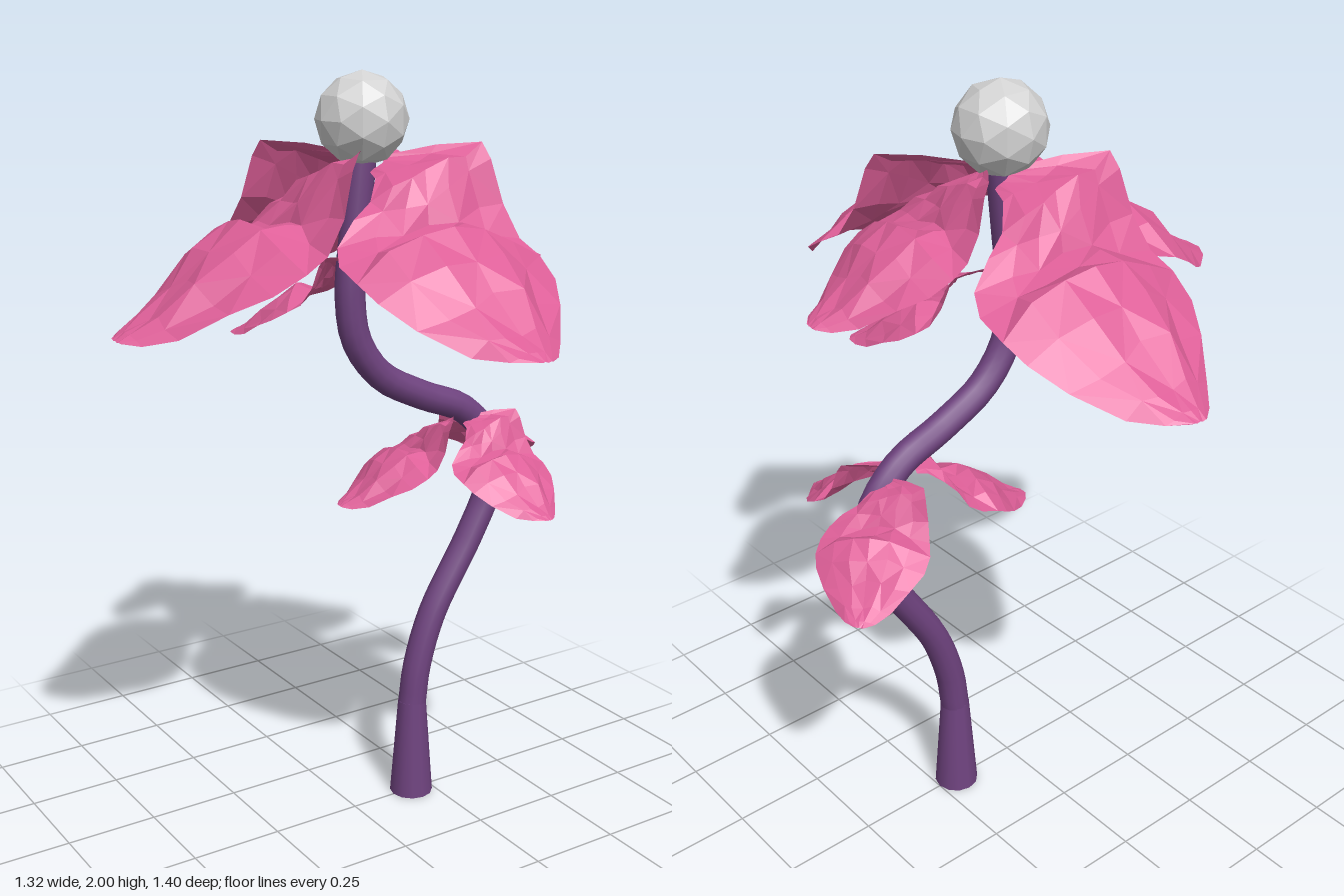
import * as THREE from 'three';

const pink = new THREE.MeshStandardMaterial({ color: 0xde5f98, flatShading: true, side: THREE.DoubleSide });
pink.name = 'petal pink';
const purple = new THREE.MeshStandardMaterial({ color: 0x6f437f });
purple.name = 'stem purple';
const grey = new THREE.MeshStandardMaterial({ color: 0xd2d2d2, flatShading: true });
grey.name = 'pistil grey';

// Petal cross-sections from base to tip:
// distance out, half width, sideways shift, heights of the low edge, middle and raised edge
const SECTIONS = [
  [0.05, 0.03, 0.0, -0.07, -0.05, -0.03],
  [0.11, 0.09, 0.04, -0.08, -0.05, -0.01],
  [0.18, 0.16, 0.05, -0.12, -0.06, 0.0],
  [0.21, 0.2, 0.03, -0.17, -0.12, -0.03],
  [0.24, 0.24, 0.01, -0.23, -0.18, -0.16],
  [0.29, 0.255, 0.0, -0.26, -0.185, -0.22],
  [0.36, 0.262, 0.0, -0.28, -0.165, -0.26],
  [0.44, 0.245, 0.0, -0.32, -0.225, -0.31],
  [0.52, 0.2, 0.0, -0.365, -0.3, -0.36],
  [0.61, 0.125, 0.0, -0.41, -0.37, -0.4],
  [0.67, 0.07, 0.0, -0.42, -0.405, -0.42],
  [0.7, 0.025, 0.0, -0.42, -0.42, -0.42],
];
const ACROSS = 6;

// Crumpled petal reaching along +z, one side edge turned up at y = 0
function petalGeometry() {
  let seed = 11;
  const jitter = (a) => {
    seed = (seed * 16807) % 2147483647;
    return (seed / 2147483647 - 0.5) * a;
  };
  const pos = [];
  const index = [];
  SECTIONS.forEach(([r, w, shift, low, mid, high], i) => {
    const rough = Math.min(1, w / 0.2);
    for (let j = 0; j <= ACROSS; j++) {
      const u = (j / ACROSS) * 2 - 1;
      const y = mid + (u * (high - low)) / 2 + u * u * ((high + low) / 2 - mid);
      pos.push(
        u * w + shift + jitter(0.02) * rough,
        Math.min(0, y + jitter(0.03) * rough),
        r - 0.02 * u * u * rough + jitter(0.025) * rough
      );
      if (i && j) {
        const d = i * (ACROSS + 1) + j, c = d - 1, b = d - ACROSS - 1, a = b - 1;
        if ((i + j) % 2) index.push(a, c, b, b, c, d);
        else index.push(a, c, d, a, d, b);
      }
    }
  });
  const g = new THREE.BufferGeometry();
  g.setAttribute('position', new THREE.Float32BufferAttribute(pos, 3));
  g.setIndex(index);
  g.computeVertexNormals();
  return g;
}

export function createModel() {
  const model = new THREE.Group();
  const petalGeo = petalGeometry();

  // Angle is measured from +z towards +x
  const addPetal = (name, x, y, z, degrees, scale) => {
    const petal = new THREE.Mesh(petalGeo, pink);
    petal.name = name;
    petal.position.set(x, y, z);
    petal.rotation.y = THREE.MathUtils.degToRad(degrees);
    petal.scale.setScalar(scale);
    model.add(petal);
  };

  // Flared foot and winding stem
  const foot = new THREE.Mesh(new THREE.CylinderGeometry(0.039, 0.06, 0.28, 12), purple);
  foot.name = 'stemFoot';
  foot.position.set(0.19, 0.14, 0);
  const path = new THREE.CatmullRomCurve3([
    [0.19, 0.27], [0.205, 0.38], [0.255, 0.53], [0.38, 0.74], [0.44, 0.87], [0.435, 1.0],
    [0.35, 1.1], [0.21, 1.16], [0.08, 1.23], [0.005, 1.33], [-0.015, 1.45], [0.0, 1.62], [0.02, 1.82],
  ].map(([x, y]) => new THREE.Vector3(x, y, 0)));
  const stem = new THREE.Mesh(new THREE.TubeGeometry(path, 48, 0.039, 12), purple);
  stem.name = 'stem';
  model.add(foot, stem);

  // Main bloom: three large petals and a smaller one on the left
  addPetal('frontPetal', 0.045, 1.83, 0, 0, 1);
  addPetal('backPetal', 0.045, 1.83, 0, 180, 1);
  addPetal('rightPetal', 0.04, 1.83, 0, -90, 1);
  addPetal('leftPetal', 0.03, 1.82, 0.02, 86, 0.73);

  // Lower tier of two small diagonal petals
  addPetal('innerPetalFront', 0.04, 1.555, 0, 45, 0.52);
  addPetal('innerPetalBack', 0.04, 1.555, 0, 225, 0.52);

  // Leaf-like petals at the bend of the stem
  addPetal('frontLeaf', 0.345, 1.105, 0, 2, 0.52);
  addPetal('leftLeaf', 0.385, 1.105, 0.01, 133, 0.52);
  addPetal('rightLeaf', 0.33, 1.105, 0, -94, 0.52);

  // Faceted ball on top
  const pistil = new THREE.Mesh(new THREE.IcosahedronGeometry(0.117, 1), grey);
  pistil.name = 'pistil';
  pistil.position.set(0.02, 1.884, 0);
  model.add(pistil);

  return model;
}
